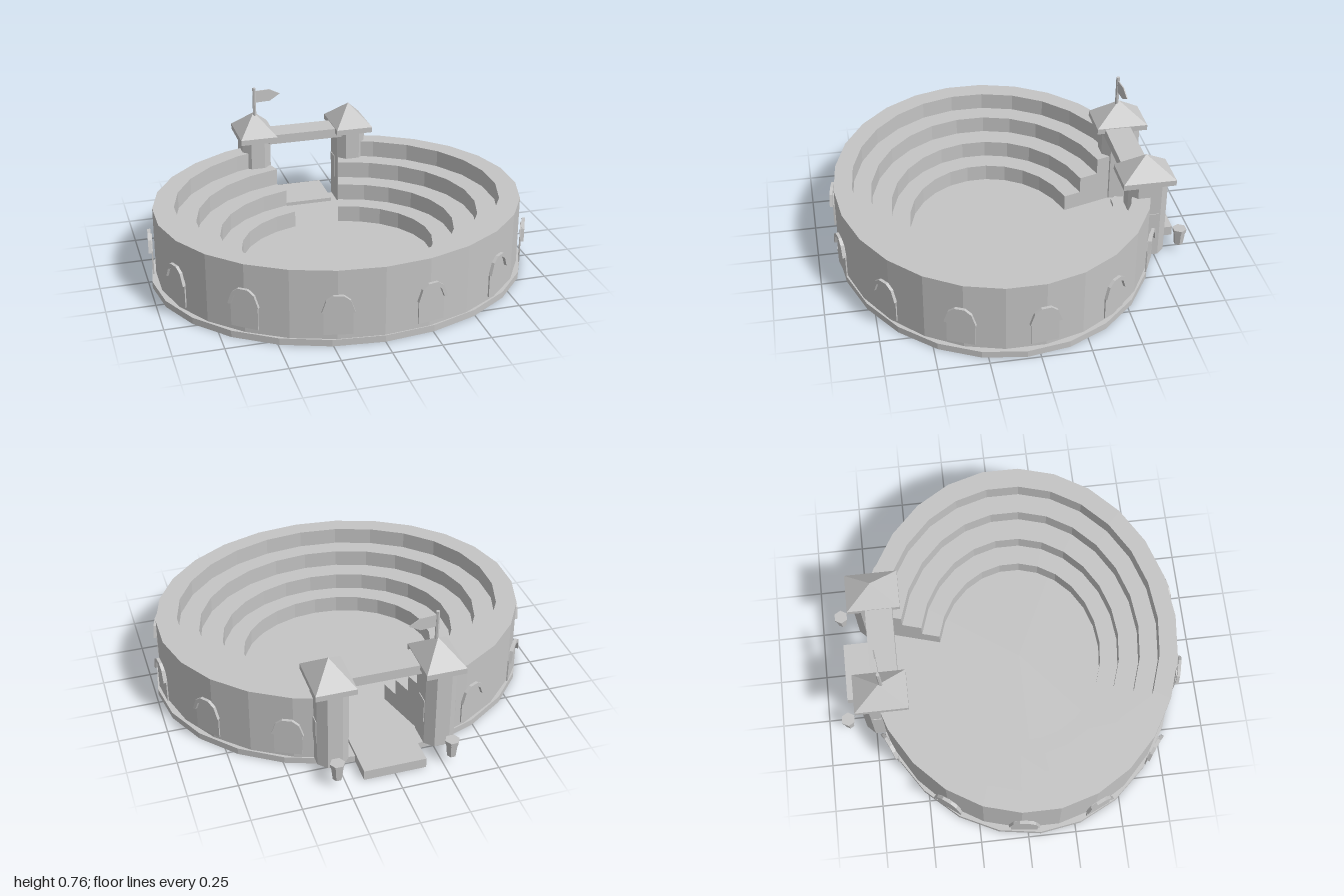
import * as THREE from 'three';

const CZ = 0.065;      // centre of the oval
const SQ = 0.86;       // depth / width of the oval
const HALF = THREE.MathUtils.degToRad(166);  // half of the arc, open at the back
const SEG = 24;
const BASE = 0.035;    // top of the plinth

export function createModel() {
  const model = new THREE.Group();
  const stone = new THREE.MeshStandardMaterial({ color: 0xc4c4c4, flatShading: true, side: THREE.DoubleSide });
  stone.name = 'grey stone';

  const add = (name, geometry, x = 0, y = 0, z = 0, parent = model) => {
    const mesh = new THREE.Mesh(geometry, stone);
    mesh.name = name;
    mesh.position.set(x, y, z);
    parent.add(mesh);
    return mesh;
  };
  const box = (w, h, d) => new THREE.BoxGeometry(w, h, d);
  const shapeOf = pts => new THREE.Shape(pts.map(p => new THREE.Vector2(p[0], p[1])));
  const extrude = (pts, depth) => new THREE.ExtrudeGeometry(shapeOf(pts), { depth, bevelEnabled: false });

  // Full oval plinth, its top is the arena floor
  add('plinth', new THREE.CylinderGeometry(1, 1, BASE, 24).scale(0.988, 1, 0.832), 0, BASE / 2, CZ);

  // Outer wall with stepped seating inside
  const riser = (0.4 - BASE) / 4;
  const profile = [[0.96, BASE], [0.96, 0.4]];
  [0.85, 0.74, 0.62, 0.51].forEach((r, i) => {
    profile.push([r, 0.4 - i * riser], [r, 0.4 - (i + 1) * riser]);
  });
  const stands = new THREE.Group();
  stands.name = 'stands';
  stands.position.z = CZ;
  stands.scale.z = SQ;
  model.add(stands);
  const pts = profile.map(p => new THREE.Vector2(p[0], p[1]));
  add('wallAndSeating', new THREE.LatheGeometry(pts, SEG, -HALF, 2 * HALF), 0, 0, 0, stands);
  for (const s of [-1, 1]) {
    add('seatingEnd', new THREE.ShapeGeometry(shapeOf(profile)).rotateY(s * HALF - Math.PI / 2), 0, 0, 0, stands);
  }

  // Arched windows with hoods standing just proud of the wall
  const panelPts = [[-0.07, 0.07], [0.07, 0.07], [0.07, 0.2], [0.048, 0.247], [0, 0.265], [-0.048, 0.247], [-0.07, 0.2]];
  const hoodPts = [[-0.08, 0.195], [-0.058, 0.258], [-0.025, 0.283], [0.025, 0.283], [0.058, 0.258], [0.08, 0.195],
    [0.064, 0.195], [0.045, 0.243], [0.02, 0.263], [-0.02, 0.263], [-0.045, 0.243], [-0.064, 0.195]];
  const panelGeo = extrude(panelPts, 0.007);
  const hoodGeo = extrude(hoodPts, 0.016);
  for (let i = 0; i < 12; i++) {
    const t = THREE.MathUtils.degToRad(27.4 * (i - 5.5));
    const win = new THREE.Group();
    win.name = 'window';
    win.position.set(0.96 * Math.sin(t), 0, CZ + 0.96 * SQ * Math.cos(t));
    win.rotation.y = Math.atan2(Math.sin(t) * SQ, Math.cos(t));
    add('windowPanel', panelGeo, 0, 0, 0.01, win);
    add('windowHood', hoodGeo, 0, 0, 0.016, win);
    model.add(win);
  }

  // Gate towers: chamfered shafts, roof slabs, pyramid roofs and planters
  const a = 0.08, b = 0.104, c = 0.042;
  const plan = [[a, -b + c], [a, b - c], [a - c, b], [c - a, b], [-a, b - c], [-a, c - b], [c - a, -b], [a - c, -b]];
  for (const s of [-1, 1]) {
    const tower = new THREE.Group();
    tower.name = 'gateTower';
    tower.position.set(s * 0.275, 0, -0.692);
    model.add(tower);
    add('towerShaft', extrude(plan, 0.44).rotateX(-Math.PI / 2), 0, 0.036, 0, tower);
    add('towerPanel', box(2 * a + 0.008, 0.13, 0.07), 0, 0.23, -0.02, tower);
    add('roofSlab', box(0.206, 0.03, 0.275), 0, 0.49, 0.01, tower);
    const roof = new THREE.ConeGeometry(Math.SQRT1_2, 0.11, 4).rotateY(Math.PI / 4).scale(0.206, 1, 0.275);
    add('roof', roof, 0, 0.56, 0.01, tower);
    add('planter', new THREE.CylinderGeometry(0.033, 0.024, 0.08, 6).rotateY(Math.PI / 6), s * 0.293, 0.085, -0.887);
    add('planterRim', new THREE.CylinderGeometry(0.038, 0.036, 0.02, 6).rotateY(Math.PI / 6), s * 0.293, 0.13, -0.887);
  }

  // Beam between the towers, and the entrance platform
  add('gateBeam', box(0.42, 0.052, 0.14), 0, 0.475, -0.656);
  add('entrancePlatform', box(0.32, 0.053, 0.26), 0, 0.0285, -0.762);

  // Flag on the right tower
  add('flagPole', new THREE.CylinderGeometry(0.01, 0.01, 0.17, 6), -0.272, 0.675, -0.67);
  const flag = add('flag', extrude([[0, 0.675], [0.085, 0.675], [0.145, 0.71], [0.085, 0.742], [0, 0.742]], 0.006), -0.268, 0, -0.673);
  flag.rotation.y = 0.1;

  return model;
}
